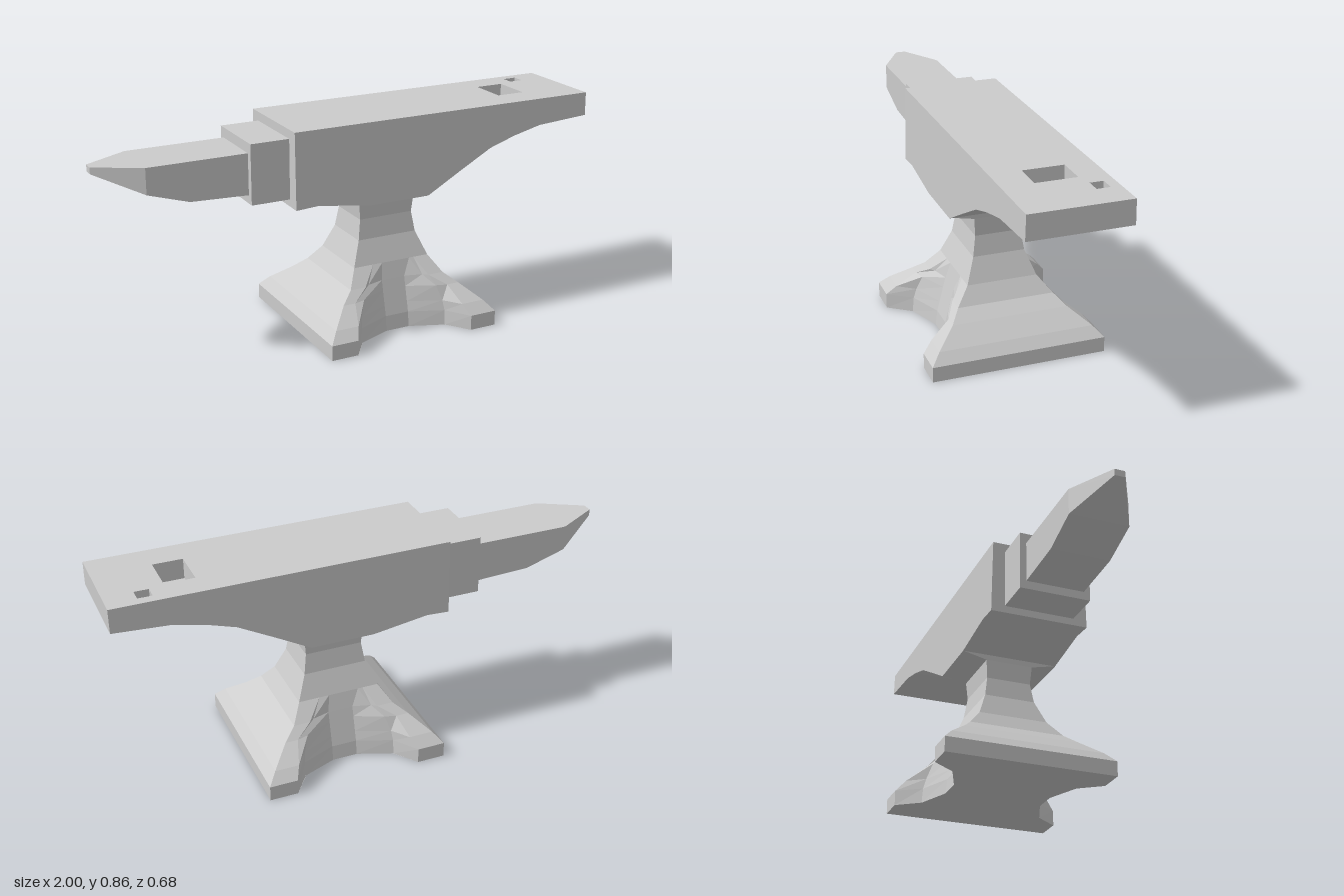
import * as THREE from 'three';

const material = new THREE.MeshStandardMaterial({ color: 0xcccccc, flatShading: true });

function addPart(group, geometry, name) {
  const mesh = new THREE.Mesh(geometry, material);
  mesh.name = name;
  group.add(mesh);
  return mesh;
}

// Skins closed rings of points and fans both ends shut
function loft(rings) {
  const out = [];
  const tri = (...points) => points.forEach((p) => out.push(...p));
  const centre = (ring) => [0, 1, 2].map((k) => ring.reduce((sum, p) => sum + p[k], 0) / ring.length);
  const first = rings[0], last = rings[rings.length - 1], n = first.length;
  for (let j = 0; j < n; j++) {
    const k = (j + 1) % n;
    for (let i = 0; i < rings.length - 1; i++) {
      tri(rings[i][j], rings[i][k], rings[i + 1][k]);
      tri(rings[i][j], rings[i + 1][k], rings[i + 1][j]);
    }
    tri(centre(first), first[k], first[j]);
    tri(centre(last), last[j], last[k]);
  }
  const geometry = new THREE.BufferGeometry();
  geometry.setAttribute('position', new THREE.Float32BufferAttribute(out, 3));
  geometry.computeVertexNormals();
  return geometry;
}

// Sides lean out slightly towards the underside
function taper(geometry) {
  const p = geometry.attributes.position;
  for (let i = 0; i < p.count; i++) p.setZ(i, p.getZ(i) * (1 + (0.855 - p.getY(i)) * 0.12));
  geometry.computeVertexNormals();
  return geometry;
}

function rectangle(Type, x0, x1, y0, y1) {
  return new Type([[x0, y0], [x1, y0], [x1, y1], [x0, y1]].map(([x, y]) => new THREE.Vector2(x, y)));
}

export function createModel() {
  const group = new THREE.Group();
  const half = 0.188, slabBottom = 0.775;

  // Body with curved heel underside
  const profile = new THREE.Shape([
    [-0.29, slabBottom], [-0.29, 0.56], [-0.2, 0.565], [0.02, 0.533], [0.27, 0.533], [0.41, 0.61],
    [0.55, 0.685], [0.66, 0.72], [0.78, 0.748], [1, 0.762], [1, slabBottom],
  ].map(([x, y]) => new THREE.Vector2(x, y)));
  const body = new THREE.ExtrudeGeometry(profile, { depth: half * 2, bevelEnabled: false });
  body.translate(0, 0, -half);
  addPart(group, taper(body), 'body');

  // Flat face plate with two square sockets
  const face = rectangle(THREE.Shape, -0.29, 1, -half, half);
  face.holes.push(rectangle(THREE.Path, 0.66, 0.775, -0.07, 0.085));
  face.holes.push(rectangle(THREE.Path, 0.832, 0.887, 0.1, 0.15));
  const plate = new THREE.ExtrudeGeometry(face, { depth: 0.855 - slabBottom, bevelEnabled: false });
  plate.rotateX(-Math.PI / 2).translate(0, slabBottom, 0);
  addPart(group, taper(plate), 'facePlate');

  // Step between face and horn
  const step = addPart(group, new THREE.BoxGeometry(0.16, 0.232, 0.28), 'step');
  step.position.set(-0.363, 0.704, 0);

  // Horn sections: x, bottom, half width
  const horn = [[-1, 0.755, 0.02], [-0.83, 0.68, 0.115], [-0.67, 0.63, 0.115], [-0.43, 0.62, 0.115]];
  addPart(group, loft(horn.map(([x, y, z]) =>
    [[x, y, -z], [x, 0.78, -z], [x, 0.78, z], [x, y, z]])), 'horn');

  // Waist and four-footed base levels: y, half width, half depth, then x and z
  // of the arch at the foot edge, its shoulder and near its centre
  const levels = [
    [0, 0.36, 0.34, 0.25, 0.34, 0.185, 0.25, 0.05, 0.197],
    [0.06, 0.36, 0.34, 0.25, 0.34, 0.185, 0.245, 0.05, 0.19],
    [0.1, 0.325, 0.303, 0.23, 0.303, 0.18, 0.235, 0.05, 0.18],
    [0.16, 0.255, 0.228, 0.205, 0.228, 0.16, 0.215, 0.05, 0.165],
    [0.2, 0.205, 0.19, 0.14, 0.19, 0.12, 0.175, 0.05, 0.155],
    [0.265, 0.163, 0.138, 0.1, 0.138, 0.08, 0.138, 0.04, 0.138],
    [0.36, 0.125, 0.102, 0.08, 0.102, 0.06, 0.102, 0.03, 0.102],
    [0.44, 0.113, 0.09, 0.08, 0.09, 0.06, 0.09, 0.03, 0.09],
    [0.513, 0.12, 0.096, 0.08, 0.096, 0.06, 0.096, 0.03, 0.096],
    [0.534, 0.124, 0.195, 0.08, 0.195, 0.06, 0.195, 0.03, 0.195],
  ];
  const rings = levels.map(([y, w, d, ax, az, bx, bz, cx, cz]) => {
    const quarter = [[w, d], [ax, az], [bx, bz], [cx, cz]];
    const front = [
      ...quarter.map(([x, z]) => [-x, y, z]),
      ...quarter.slice().reverse().map(([x, z]) => [x, y, z]),
    ];
    return [...front, ...front.map(([x, , z]) => [-x, y, -z])];
  });
  addPart(group, loft(rings), 'base').position.x = 0.142;

  return group;
}
